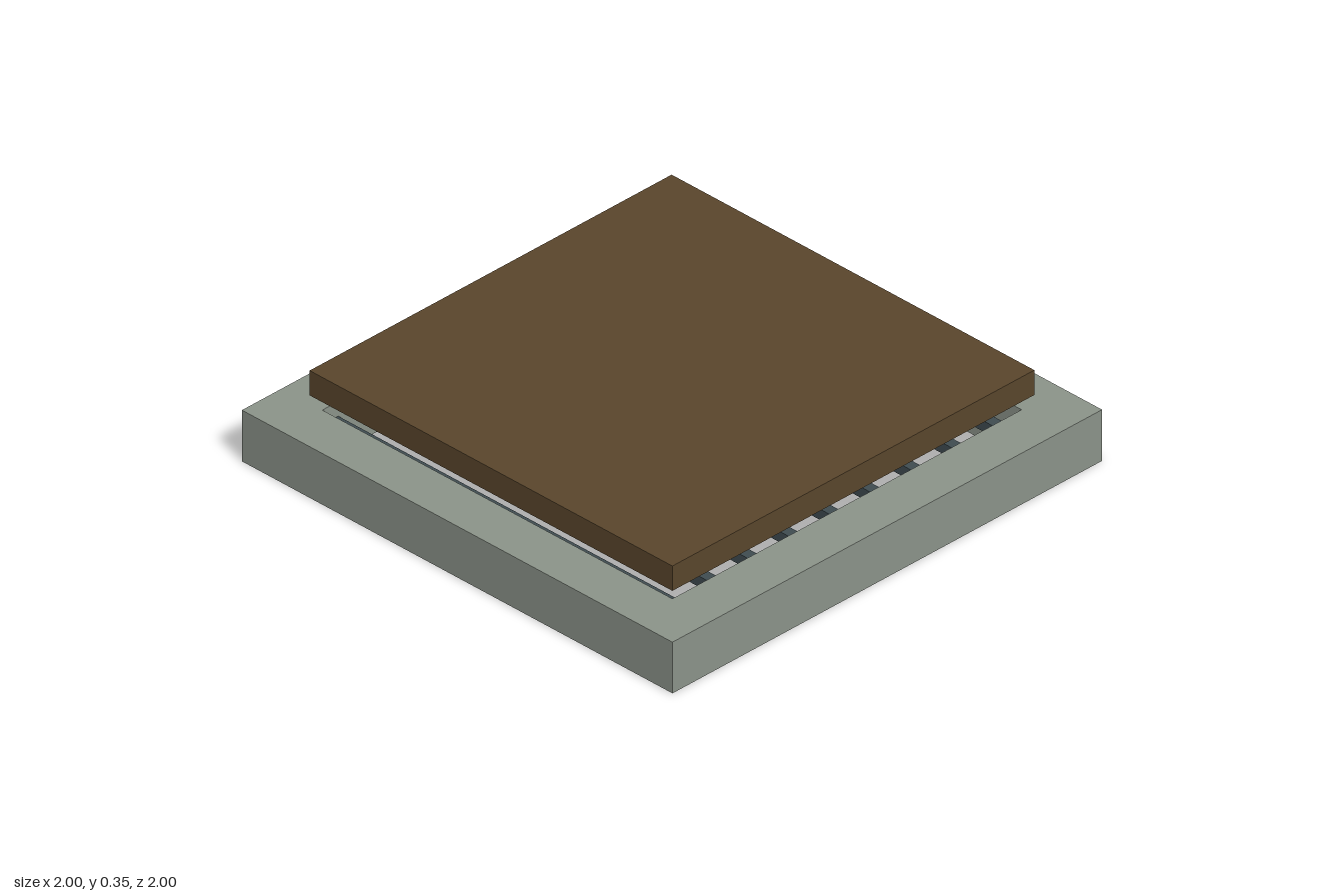
import * as THREE from 'three';

export function createModel() {
  const model = new THREE.Group();
  const stone = new THREE.MeshStandardMaterial({ color: 0x8c948a });
  const wood = new THREE.MeshStandardMaterial({ color: 0x5a462c });
  const iron = new THREE.MeshStandardMaterial({ color: 0x3f4c51 });
  stone.name = 'stone';
  wood.name = 'wood';
  iron.name = 'iron';

  const box = (name, material, size, position, parent = model) => {
    const mesh = new THREE.Mesh(new THREE.BoxGeometry(...size), material);
    mesh.name = name;
    mesh.position.set(...position);
    parent.add(mesh);
  };

  // square frame: full-width front and back beams, side beams between them
  const beam = 0.187, inner = 1 - beam, height = 0.2;
  const mid = 1 - beam / 2;
  box('frontBeam', stone, [2, height, beam], [0, height / 2, mid]);
  box('backBeam', stone, [2, height, beam], [0, height / 2, -mid]);
  box('leftBeam', stone, [beam, height, 2 * inner], [mid, height / 2, 0]);
  box('rightBeam', stone, [beam, height, 2 * inner], [-mid, height / 2, 0]);

  // grate: two whole outer bars, inner bars broken away around the centre
  const grate = new THREE.Group();
  grate.name = 'grate';
  model.add(grate);
  const barWidth = 0.042, barY = 0.122, hole = 0.39;
  for (let i = -4; i <= 4; i++) {
    const x = i * 0.19;
    if (Math.abs(i) === 4) {
      box('wholeBar', iron, [barWidth, barWidth, 2 * inner], [x, barY, 0], grate);
      continue;
    }
    for (const side of [-1, 1]) {
      box('brokenBar', iron, [barWidth, barWidth, inner - hole],
        [x, barY, side * (inner + hole) / 2], grate);
    }
  }

  // raised lid
  box('lid', wood, [1.685, 0.097, 1.685], [0, 0.306, 0]);

  return model;
}
